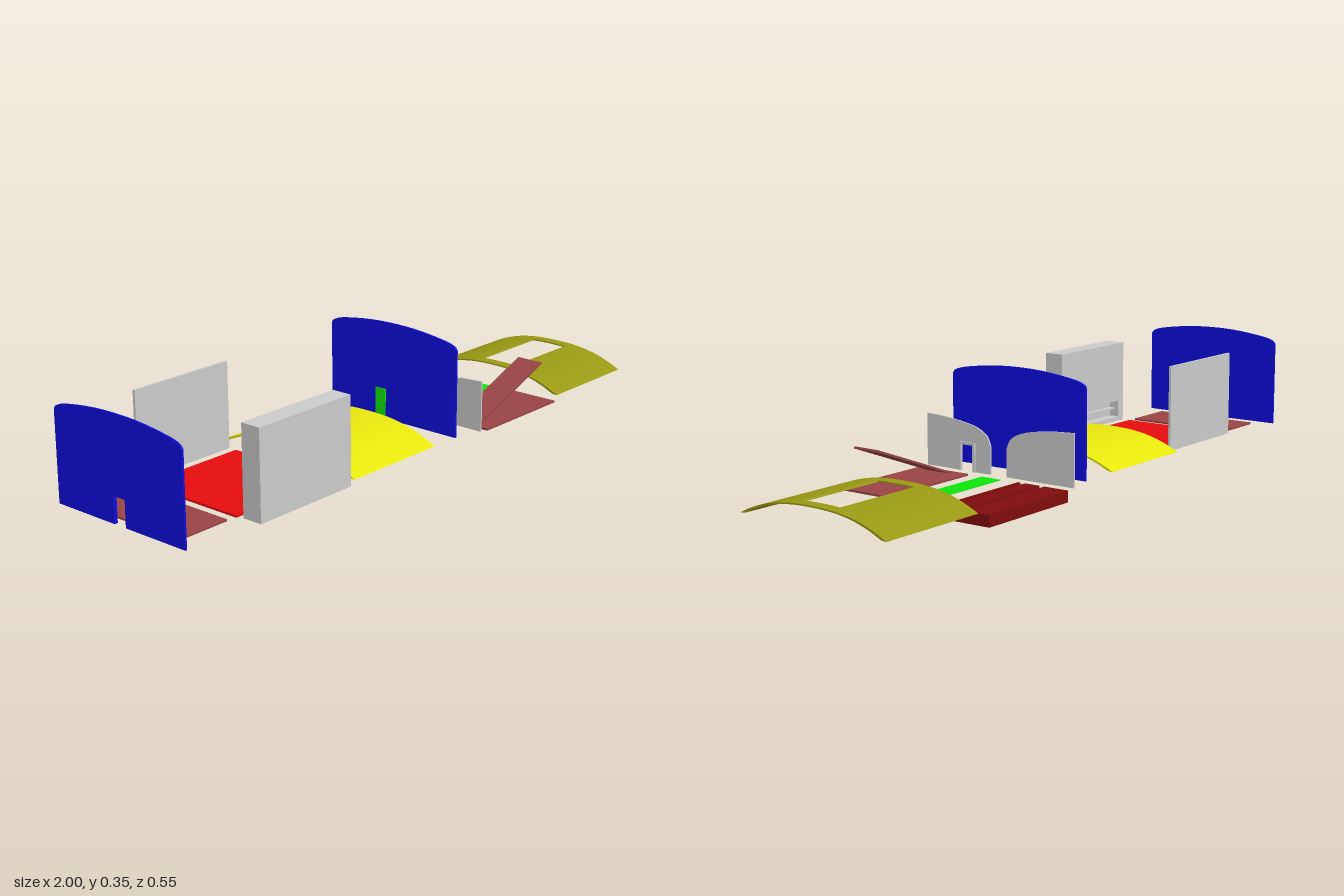
import * as THREE from 'three';
import { toCreasedNormals } from 'three/addons/utils/BufferGeometryUtils.js';

const material = (color) => new THREE.MeshStandardMaterial({ color, side: THREE.DoubleSide });
const GREY = material(0xcccccc), BLUE = material(0x0d0de0), RED = material(0xe60d0d);
const YELLOW = material(0xe6e60d), OLIVE = material(0x999914), GREEN = material(0x0de60d);
const MAROON = material(0x800d0d), BROWN = material(0x994444);

export function createModel() {
  const model = new THREE.Group();

  const add = (name, geometry, mat) => {
    const mesh = new THREE.Mesh(geometry, mat);
    mesh.name = name;
    model.add(mesh);
    return mesh;
  };

  // Box given by its limits on each axis
  const box = (name, mat, x0, x1, y0, y1, z0, z1) => {
    const mesh = add(name, new THREE.BoxGeometry(x1 - x0, y1 - y0, z1 - z0), mat);
    mesh.position.set((x0 + x1) / 2, (y0 + y1) / 2, (z0 + z1) / 2);
    return mesh;
  };

  // Cross-section of [z, y] points extruded along x
  const extrudeX = (name, mat, points, x0, x1) => {
    const shape = new THREE.Shape(points.map(([z, y]) => new THREE.Vector2(-z, y)));
    const geometry = new THREE.ExtrudeGeometry(shape, { depth: x1 - x0, bevelEnabled: false });
    geometry.rotateY(Math.PI / 2).translate(x0, 0, 0);
    return add(name, toCreasedNormals(geometry, 0.4), mat);
  };

  // Smooth curve through [z, y] points
  const smooth = (points, n) =>
    new THREE.SplineCurve(points.map((p) => new THREE.Vector2(...p))).getPoints(n).map((p) => [p.x, p.y]);

  // Doorway as a notch in the bottom edge, from z1 down to z0
  const notch = (z0, z1, base, top) => [[z1, base], [z1, top], [z0, top], [z0, base]];

  const doorFrame = (name, mat, z0, z1, x0, x1) => extrudeX(name, mat, [
    ...notch(z0, z1, 0.035, 0.115),
    [z0 - 0.008, 0.035], [z0 - 0.008, 0.123], [z1 + 0.008, 0.123], [z1 + 0.008, 0.035],
  ], x0, x1);

  // Tall end panels with an arched top
  const halfArch = [[0.247, 0.308], [0.237, 0.319], [0.2, 0.33], [0.1, 0.343], [0, 0.347]];
  const arch = smooth([...halfArch, ...halfArch.slice(0, -1).reverse().map(([z, y]) => [-z, y])], 40);
  const endOutline = [[0.247, 0.035], ...arch, [-0.247, 0.035]];
  extrudeX('rearEndPanel', BLUE, [...endOutline, ...notch(-0.022, 0.022, 0.035, 0.115).reverse()], -1, -0.994);
  doorFrame('rearDoorFrame', BLUE, -0.022, 0.022, -0.998, -0.989);
  extrudeX('middleEndPanel', BLUE, endOutline, 0.115, 0.122);
  box('door', GREEN, 0.059, 0.062, 0.037, 0.155, -0.019, 0.019);

  // Floors
  box('rearPlatform', BROWN, -0.96, -0.785, 0.03, 0.036, -0.18, 0.18);
  box('mainFloor', RED, -0.75, -0.39, 0.029, 0.036, -0.18, 0.18);

  // Side walls, one thick with a recessed locker in its inner face
  box('thinSideWall', GREY, -0.75, -0.39, 0.035, 0.305, -0.214, -0.206);
  box('thickSideWall', GREY, -0.75, -0.39, 0.035, 0.305, 0.24, 0.272);
  const lining = new THREE.Shape([[-0.75, 0.035], [-0.39, 0.035], [-0.39, 0.305], [-0.75, 0.305]]
    .map((p) => new THREE.Vector2(...p)));
  lining.holes.push(new THREE.Path([[-0.72, 0.05], [-0.72, 0.105], [-0.42, 0.105], [-0.42, 0.05]]
    .map((p) => new THREE.Vector2(...p))));
  add('wallLining', new THREE.ExtrudeGeometry(lining, { depth: 0.034, bevelEnabled: false }), GREY)
    .position.z = 0.207;
  box('lockerShelf', GREY, -0.72, -0.42, 0.074, 0.08, 0.222, 0.241);

  // Curved roof sections
  const roofY = (z) => 0.043 + 0.055 * (1 - Math.pow(Math.min(1, Math.abs(z) / 0.26), 2.5));
  const roofStrip = (name, mat, x0, x1, z0, z1) => {
    const n = Math.max(6, Math.round((z1 - z0) * 80));
    const zs = Array.from({ length: n + 1 }, (_, i) => z0 + (z1 - z0) * i / n);
    const top = zs.map((z) => [z, roofY(z)]);
    const under = zs.map((z) => [z * 0.965, Math.max(0.043, roofY(z) - 0.004)]).reverse();
    extrudeX(name, mat, [...top, ...under], x0, x1);
  };
  roofStrip('mainRoof', YELLOW, -0.36, 0, -0.26, 0.26);
  roofStrip('openRoofRear', OLIVE, 0.635, 0.672, -0.26, 0.26);
  roofStrip('openRoofFront', OLIVE, 0.962, 1, -0.26, 0.26);
  roofStrip('openRoofLeft', OLIVE, 0.672, 0.962, 0.065, 0.26);
  roofStrip('openRoofRight', OLIVE, 0.672, 0.962, -0.26, -0.068);

  // Low bulkheads with a curved shoulder towards the gangway
  const shoulder = smooth([[0.272, 0.195], [0.2, 0.191], [0.13, 0.182], [0.08, 0.17], [0.045, 0.15], [0.03, 0.12]], 24);
  const bulkhead = [[0.03, 0.035], [0.272, 0.035], ...shoulder];
  extrudeX('rightBulkhead', GREY, bulkhead.map(([z, y]) => [-z, y]), 0.21, 0.215);
  extrudeX('leftBulkhead', GREY,
    [[0.03, 0.035], ...notch(0.095, 0.14, 0.035, 0.115).reverse(), ...bulkhead.slice(1)], 0.21, 0.215);
  doorFrame('leftBulkheadFrame', GREY, 0.095, 0.14, 0.212, 0.22);

  // Grooved bench block
  extrudeX('benchBlock', MAROON, [
    [-0.095, 0], [-0.095, 0.035], [-0.105, 0.035], [-0.105, 0.026], [-0.12, 0.026], [-0.12, 0.035],
    [-0.172, 0.035], [-0.172, 0.026], [-0.19, 0.026], [-0.19, 0.035], [-0.273, 0.035], [-0.273, 0],
  ], 0.245, 0.605);

  // Gangway strip
  box('gangway', GREEN, 0.25, 0.597, 0.033, 0.035, -0.035, 0.035);

  // Side platform with a raised flap hinged at its rear
  box('sidePlatform', BROWN, 0.245, 0.605, 0.029, 0.035, 0.091, 0.272);
  const flap = box('raisedFlap', BROWN, 0.239, 0.601, 0.0895, 0.0955, 0.137, 0.227);
  flap.rotation.z = Math.atan2(0.125, 0.335);

  return model;
}
